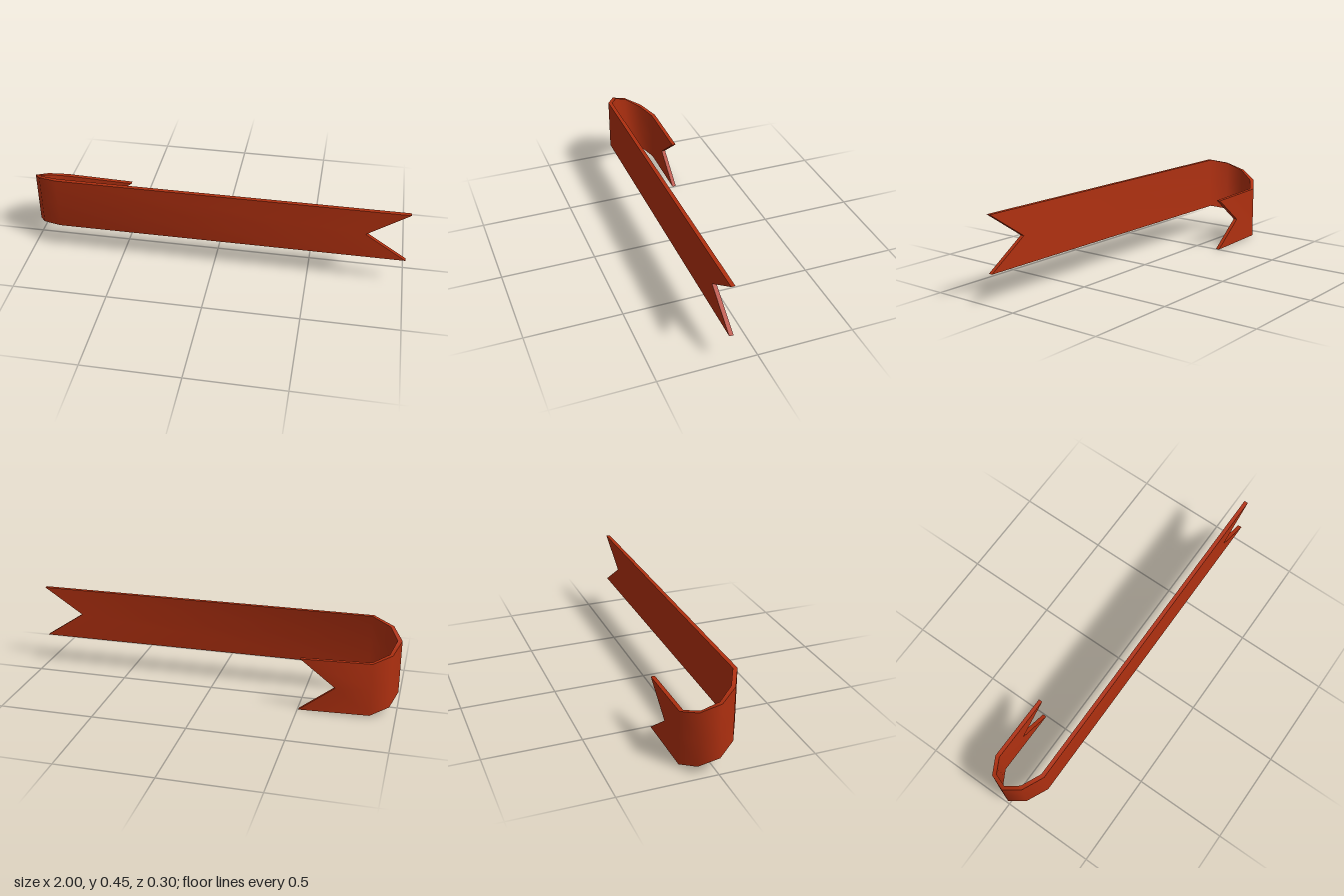
import * as THREE from 'three';
import { toCreasedNormals } from 'three/addons/utils/BufferGeometryUtils.js';

const HEIGHT = 0.285;
const HALF_THICK = 0.0105;

// Centre line of the band from the front tail to the back tail:
// x, z, height of the lower edge, x shift of the middle row (swallowtail notch)
const STATIONS = [
  [1.0, 0.138, 0.161, -0.215],
  [-0.835, 0.138, 0.161, 0],
  [-0.94, 0.082, 0.132, 0],
  [-0.988, 0.002, 0.089, 0],
  [-0.955, -0.085, 0.042, 0],
  [-0.868, -0.138, 0.01, 0],
  [-0.505, -0.138, 0.0, -0.185],
];

// Unit normal of the path segment from station i to i + 1, pointing out of the fold
function segmentNormal(i) {
  const a = STATIONS[i], b = STATIONS[i + 1];
  return new THREE.Vector2(b[1] - a[1], a[0] - b[0]).normalize();
}

// Mitred sideways offset at a station
function miter(i) {
  const last = STATIONS.length - 1;
  const n1 = segmentNormal(Math.max(i - 1, 0));
  const n2 = segmentNormal(Math.min(i, last - 1));
  const m = n1.clone().add(n2).normalize();
  return m.multiplyScalar(HALF_THICK / m.dot(n1));
}

function ribbonGeometry() {
  const last = STATIONS.length - 1;
  const positions = [];

  // Point at station i, row 0..2 (low, middle, high), side +1 outer / -1 inner
  const point = (i, row, side) => {
    const [x, z, y, notch] = STATIONS[i];
    const m = miter(i);
    return [
      x + side * m.x + (row === 1 ? notch : 0),
      y + (HEIGHT * row) / 2,
      z + side * m.y,
    ];
  };
  const quad = (a, b, c, d) => positions.push(...a, ...b, ...c, ...a, ...c, ...d);

  for (let i = 0; i < last; i++) {
    const j = i + 1;
    // Outer and inner faces
    for (let r = 0; r < 2; r++) {
      quad(point(i, r, 1), point(i, r + 1, 1), point(j, r + 1, 1), point(j, r, 1));
      quad(point(j, r, -1), point(j, r + 1, -1), point(i, r + 1, -1), point(i, r, -1));
    }
    // Upper and lower edges
    quad(point(i, 2, 1), point(i, 2, -1), point(j, 2, -1), point(j, 2, 1));
    quad(point(j, 0, 1), point(j, 0, -1), point(i, 0, -1), point(i, 0, 1));
  }
  // Notched tail ends
  for (let r = 0; r < 2; r++) {
    quad(point(0, r, 1), point(0, r, -1), point(0, r + 1, -1), point(0, r + 1, 1));
    quad(point(last, r + 1, 1), point(last, r + 1, -1), point(last, r, -1), point(last, r, 1));
  }

  const geometry = new THREE.BufferGeometry();
  geometry.setAttribute('position', new THREE.Float32BufferAttribute(positions, 3));
  return toCreasedNormals(geometry, 1.15);
}

export function createModel() {
  const group = new THREE.Group();
  group.name = 'foldedRibbon';
  const ribbon = new THREE.Mesh(
    ribbonGeometry(),
    new THREE.MeshStandardMaterial({ color: 0xb03010 })
  );
  ribbon.name = 'ribbonBand';
  group.add(ribbon);
  return group;
}
